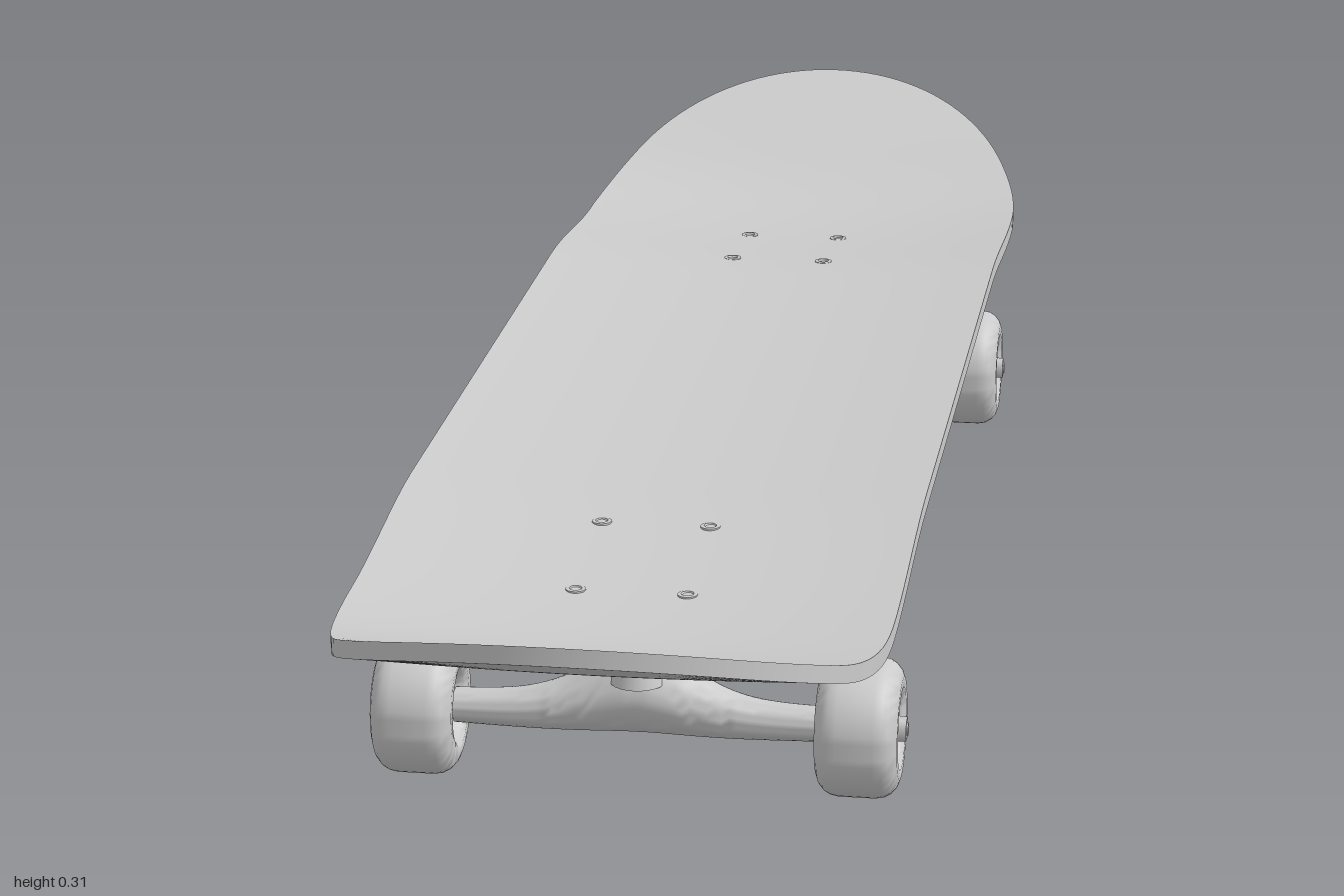
import * as THREE from 'three';
import { toCreasedNormals } from 'three/addons/utils/BufferGeometryUtils.js';

const grey = new THREE.MeshStandardMaterial({ color: 0xcccccc });

function add(parent, name, geometry, x = 0, y = 0, z = 0) {
  const mesh = new THREE.Mesh(geometry, grey);
  mesh.name = name;
  mesh.position.set(x, y, z);
  parent.add(mesh);
  return mesh;
}

// Skin a series of closed rings, counterclockwise about the direction of travel
function loft(rings, crease) {
  const n = rings[0].length, index = [];
  for (let i = 0; i < rings.length - 1; i++)
    for (let j = 0; j < n; j++) {
      const a = i * n + j, b = i * n + (j + 1) % n;
      index.push(a, b, a + n, b, b + n, a + n);
    }
  const g = new THREE.BufferGeometry();
  g.setAttribute('position', new THREE.Float32BufferAttribute(rings.flat(2), 3));
  g.setIndex(index);
  return toCreasedNormals(g, crease);
}

function lathe(points, segments = 40) {
  const g = new THREE.LatheGeometry(points.map(p => new THREE.Vector2(...p)), segments);
  return toCreasedNormals(g, 0.7);
}

// Deck shape: underside height on the centre line, concave lift and half width
const THICK = 0.017;
function underside(z) {
  const d = Math.abs(z) - 0.68, slope = 0.44, blend = 0.16;
  const kick = d < 0 ? 0 : d < blend ? slope * d * d / (2 * blend) : slope * (d - blend / 2);
  return 0.203 - 0.02 * THREE.MathUtils.smoothstep(Math.abs(z), 0.38, 0.66) + kick;
}
function lift(x, z) {
  const fade = 1 - THREE.MathUtils.smoothstep(Math.abs(z), 0.65, 0.98);
  return 0.015 * fade * (x / 0.25) ** 2;
}
function halfWidth(z) {
  const t = Math.max(0, (Math.abs(z) - 0.65) / 0.35);
  return 0.25 * Math.sqrt(Math.max(0, 1 - t ** 2.5));
}

function deckGeometry() {
  const half = [];
  for (let i = 0; i < 22; i++) half.push(0.65 * i / 22);
  for (let i = 0; i <= 32; i++) half.push(0.65 + 0.35 * Math.sin(i / 32 * Math.PI / 2));
  const stations = [...half.slice(1).reverse().map(z => -z), ...half];
  const N = 20;
  const rings = stations.map(z => {
    const w = halfWidth(z), ring = [];
    for (let side = 0; side < 2; side++)
      for (let j = 0; j <= N; j++) {
        const x = w * (2 * j / N - 1) * (side ? -1 : 1);
        ring.push([x, underside(z) + lift(x, z) + side * THICK, z]);
      }
    return ring;
  });
  return loft(rings, 0.7);
}

// Axle casting: slim arms swelling into a peaked centre
function hangerGeometry() {
  const rings = [];
  for (let i = 0; i <= 48; i++) {
    const x = -0.175 + 0.35 * i / 48, a = Math.abs(x);
    const bell = Math.exp(-((a / 0.062) ** 1.6));
    const top = 0.083 + 0.056 * bell, bottom = 0.044 + 0.006 * a / 0.175;
    const ring = [];
    for (let j = 0; j < 28; j++) {
      const t = j / 28 * Math.PI * 2, up = Math.cos(t);
      const narrow = 1 - 0.35 * bell * Math.max(0, up);
      ring.push([x, (top + bottom) / 2 + up * (top - bottom) / 2,
        0.555 - 0.018 * bell + Math.sin(t) * (0.017 + 0.026 * bell) * narrow]);
    }
    rings.push(ring);
  }
  return loft(rings, 0.9);
}

// Pivot housing and kingpin seat, drawn as a side profile (z, y)
function housingGeometry() {
  const s = new THREE.Shape([[0.608, 0.182], [0.588, 0.14], [0.548, 0.14], [0.532, 0.16],
    [0.5, 0.168], [0.455, 0.152], [0.437, 0.182]].map(p => new THREE.Vector2(...p)));
  const g = new THREE.ExtrudeGeometry(s, { depth: 0.058, bevelEnabled: true,
    bevelSize: 0.002, bevelThickness: 0.002, bevelSegments: 2 });
  g.translate(0, 0, -0.029).rotateY(-Math.PI / 2);
  const p = g.attributes.position;
  for (let i = 0; i < p.count; i++)
    p.setX(i, p.getX(i) * (0.9 + 0.18 * (p.getY(i) - 0.14) / 0.042));
  return toCreasedNormals(g, 0.5);
}

function createWheel() {
  const wheel = new THREE.Group();
  wheel.name = 'wheel';
  const side = [[0.02, 0.024], [0.031, 0.026], [0.034, 0.035], [0.039, 0.0385], [0.048, 0.0385],
    [0.055, 0.036], [0.061, 0.031], [0.0645, 0.025], [0.066, 0.017]];
  const profile = [...side.map(([r, y]) => [r, -y]), ...[...side].reverse()];
  add(wheel, 'tyre', lathe(profile, 56).rotateZ(-Math.PI / 2));
  for (const s of [-1, 1]) {
    const bearing = [[0.005, 0], [0.022, 0], [0.022, 0.006], [0.019, 0.006], [0.018, 0.003],
      [0.014, 0.003], [0.013, 0.007], [0.005, 0.007]];
    add(wheel, 'bearing', lathe(bearing, 32).rotateZ(-s * Math.PI / 2), s * 0.021);
  }
  add(wheel, 'axleNut', new THREE.CylinderGeometry(0.0115, 0.0125, 0.016, 6).rotateZ(-Math.PI / 2), 0.035);
  return wheel;
}

function createTruck() {
  const truck = new THREE.Group();
  truck.name = 'truck';
  add(truck, 'basePlate', new THREE.BoxGeometry(0.13, 0.021, 0.186), 0, 0.1885, 0.522);
  add(truck, 'pivotHousing', housingGeometry());
  add(truck, 'hanger', hangerGeometry());
  add(truck, 'pivotNose', new THREE.CylinderGeometry(0.014, 0.026, 0.045, 24), 0, 0.125, 0.562);
  add(truck, 'axle', new THREE.CylinderGeometry(0.006, 0.006, 0.506, 16).rotateZ(Math.PI / 2), 0, 0.066, 0.555);

  // Tilted kingpin with its stack of washers and bushings
  const kingpin = new THREE.Group();
  kingpin.name = 'kingpin';
  kingpin.position.set(0, 0.168, 0.5);
  kingpin.rotation.x = 0.42;
  truck.add(kingpin);
  const bushing = [[0, -0.012], [0.02, -0.012], [0.024, -0.008], [0.025, 0], [0.024, 0.008], [0.02, 0.012], [0, 0.012]];
  add(kingpin, 'upperBushing', lathe(bushing), 0, -0.026);
  add(kingpin, 'hangerRing', lathe([[0, -0.009], [0.026, -0.009], [0.029, -0.006], [0.029, 0.006], [0.026, 0.009], [0, 0.009]]), 0, -0.047);
  add(kingpin, 'lowerBushing', lathe(bushing.map(([r, y]) => [r * 0.88, y * 0.85])), 0, -0.066);
  for (const y of [-0.013, -0.078])
    add(kingpin, 'washer', new THREE.CylinderGeometry(0.023, 0.023, 0.004, 32), 0, y);
  add(kingpin, 'kingpinNut', new THREE.CylinderGeometry(0.014, 0.014, 0.012, 6), 0, -0.086);
  add(kingpin, 'kingpinBolt', new THREE.CylinderGeometry(0.007, 0.007, 0.1, 16), 0, -0.047);

  // Mounting hardware: flush heads above, nuts below
  for (const x of [-0.052, 0.052])
    for (const z of [0.449, 0.595]) {
      const top = underside(z) + lift(x, z) + THICK;
      add(truck, 'boltHead', lathe([[0.0095, -0.004], [0.0095, 0.001], [0.006, 0.0015], [0.004, -0.001], [0, -0.001]], 20), x, top, z);
      add(truck, 'boltNut', new THREE.CylinderGeometry(0.0095, 0.0095, 0.007, 6), x, 0.176, z);
    }

  for (const s of [-1, 1]) {
    const wheel = createWheel();
    wheel.position.set(s * 0.2085, 0.066, 0.555);
    if (s < 0) wheel.rotation.y = Math.PI;
    truck.add(wheel);
  }
  return truck;
}

export function createModel() {
  const model = new THREE.Group();
  model.name = 'skateboard';
  add(model, 'deck', deckGeometry());
  const front = createTruck(), rear = createTruck();
  front.name = 'frontTruck';
  rear.name = 'rearTruck';
  rear.rotation.y = Math.PI;
  model.add(front, rear);
  return model;
}
